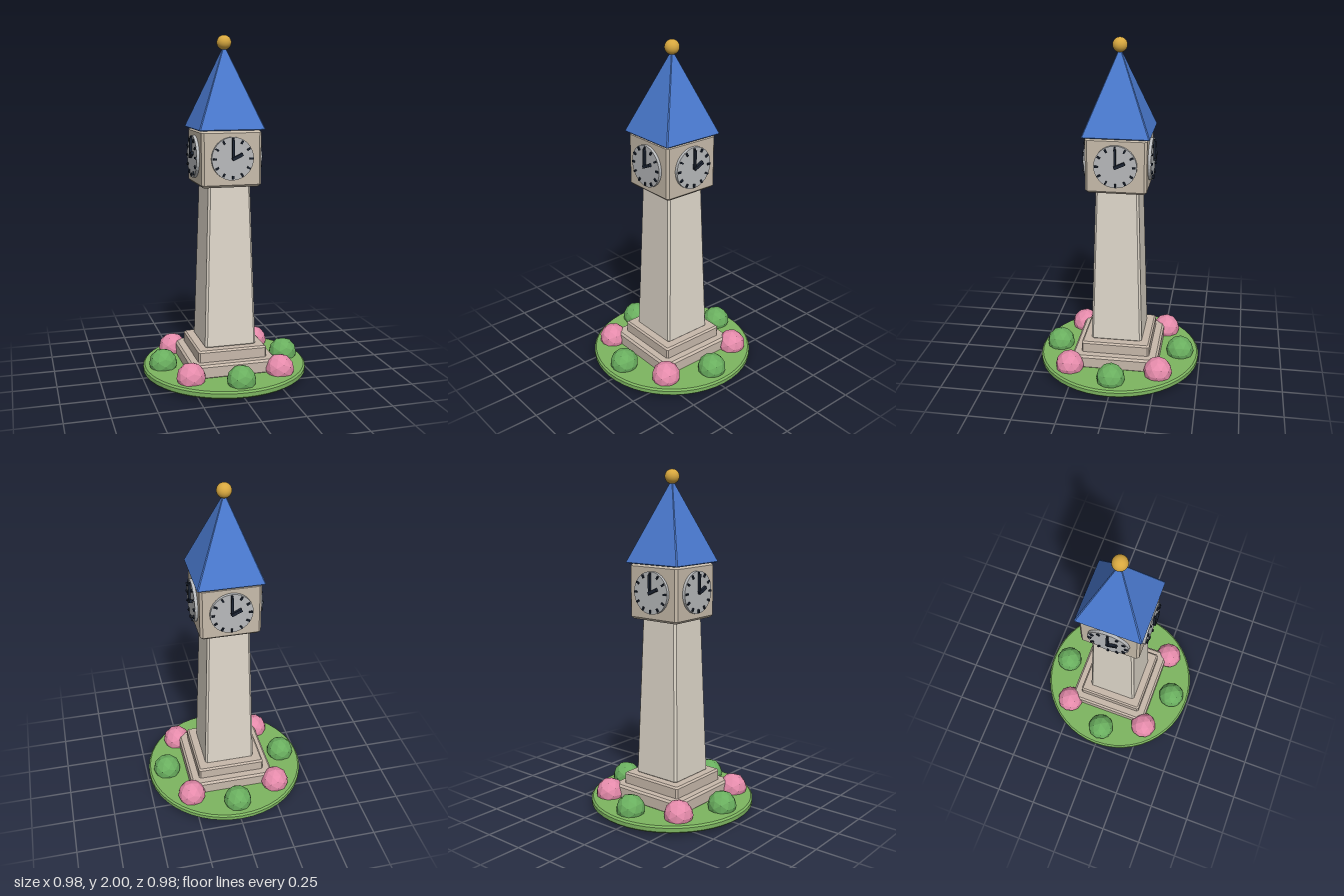
import * as THREE from 'three';

const material = (color, flat = true) => {
  const m = new THREE.MeshStandardMaterial({ flatShading: flat });
  m.color.set(color);
  return m;
};

// Square block with cut corners, from levels of [y, half width, corner cut]
function chamferedBlock(levels) {
  const positions = [], index = [];
  for (const [y, w, c] of levels) {
    const k = w - c;
    for (const [x, z] of [[w, k], [w, -k], [k, -w], [-k, -w], [-w, -k], [-w, k], [-k, w], [k, w]]) {
      positions.push(x, y, z);
    }
  }
  for (let l = 0; l < levels.length - 1; l++) {
    for (let i = 0; i < 8; i++) {
      const a = l * 8 + i, b = l * 8 + (i + 1) % 8;
      index.push(a, b, b + 8, a, b + 8, a + 8);
    }
  }
  const top = (levels.length - 1) * 8;
  for (let i = 1; i < 7; i++) {
    index.push(0, i + 1, i, top, top + i, top + i + 1);
  }
  const geometry = new THREE.BufferGeometry();
  geometry.setAttribute('position', new THREE.Float32BufferAttribute(positions, 3));
  geometry.setIndex(index);
  geometry.computeVertexNormals();
  return geometry;
}

// Block whose top and bottom edges are bevelled by b
const bevelled = (y0, y1, w0, w1, b) => chamferedBlock([
  [y0, w0 - b, b * 0.5], [y0 + b, w0, b], [y1 - b, w1, b], [y1, w1 - b, b * 0.5],
]);

export function createModel() {
  const model = new THREE.Group();
  model.name = 'clockTower';
  const add = (parent, name, geometry, mat, x = 0, y = 0, z = 0) => {
    const mesh = new THREE.Mesh(geometry, mat);
    mesh.name = name;
    mesh.position.set(x, y, z);
    parent.add(mesh);
    return mesh;
  };

  const grass = material(0x7db560);
  const trim = material(0xc8b9ab);
  const stone = material(0xe0d8cb);
  const headStone = material(0xc8bcab);
  const blue = material(0x4a7ad0);
  const gold = material(0xd8a83f, false);
  const dial = material(0xb8babc);
  const dark = material(0x1a2230);
  const green = material(0x6aaf5f);
  const pink = material(0xe58bab);

  // Round lawn with bevelled rim
  const rim = [[0, 0.02], [0.48, 0.02], [0.49, 0.03], [0.49, 0.053], [0.48, 0.063], [0, 0.063]];
  add(model, 'lawn', new THREE.LatheGeometry(rim.map(p => new THREE.Vector2(...p)), 48), grass);

  // Stepped plinth, tapered shaft and clock housing
  add(model, 'lowerStep', bevelled(0.055, 0.14, 0.257, 0.257, 0.012), trim);
  add(model, 'upperStep', bevelled(0.13, 0.207, 0.205, 0.205, 0.01), trim);
  add(model, 'shaft', bevelled(0.2, 1.16, 0.153, 0.124, 0.012), stone);
  add(model, 'clockHousing', bevelled(1.15, 1.472, 0.175, 0.175, 0.014), headStone);

  // Pyramid roof with ball finial
  add(model, 'roof', chamferedBlock([[1.472, 0.188, 0.004], [1.477, 0.191, 0.006], [1.93, 0.007, 0.003]]), blue);
  add(model, 'finial', new THREE.SphereGeometry(0.042, 32, 20), gold, 0, 1.958, 0);

  // Four clocks, one per side
  const dialGeometry = new THREE.CylinderGeometry(0.122, 0.122, 0.02, 32).rotateX(Math.PI / 2);
  const markGeometry = new THREE.BoxGeometry(0.01, 0.02, 0.012).translate(0, 0.106, 0);
  const minuteGeometry = new THREE.BoxGeometry(0.013, 0.11, 0.014).translate(0, 0.05, 0);
  const hourGeometry = new THREE.BoxGeometry(0.018, 0.066, 0.016).translate(0, 0.027, 0);
  for (let side = 0; side < 4; side++) {
    const clock = new THREE.Group();
    clock.name = 'clock';
    clock.rotation.y = side * Math.PI / 2;
    add(clock, 'dial', dialGeometry, dial, 0, 1.315, 0.182);
    for (let h = 0; h < 12; h++) {
      add(clock, 'hourMark', markGeometry, dark, 0, 1.315, 0.194).rotation.z = h * Math.PI / 6;
    }
    add(clock, 'minuteHand', minuteGeometry, dark, 0, 1.315, 0.2);
    add(clock, 'hourHand', hourGeometry, dark, 0, 1.315, 0.202).rotation.z = -Math.PI * 0.36;
    model.add(clock);
  }

  // Ring of alternating green and pink bushes
  const bushGeometry = new THREE.IcosahedronGeometry(0.085, 1);
  for (let i = 0; i < 8; i++) {
    const a = i * Math.PI / 4;
    add(model, 'bush', bushGeometry, i % 2 ? pink : green, 0.376 * Math.cos(a), 0.085, 0.376 * Math.sin(a));
  }
  return model;
}
